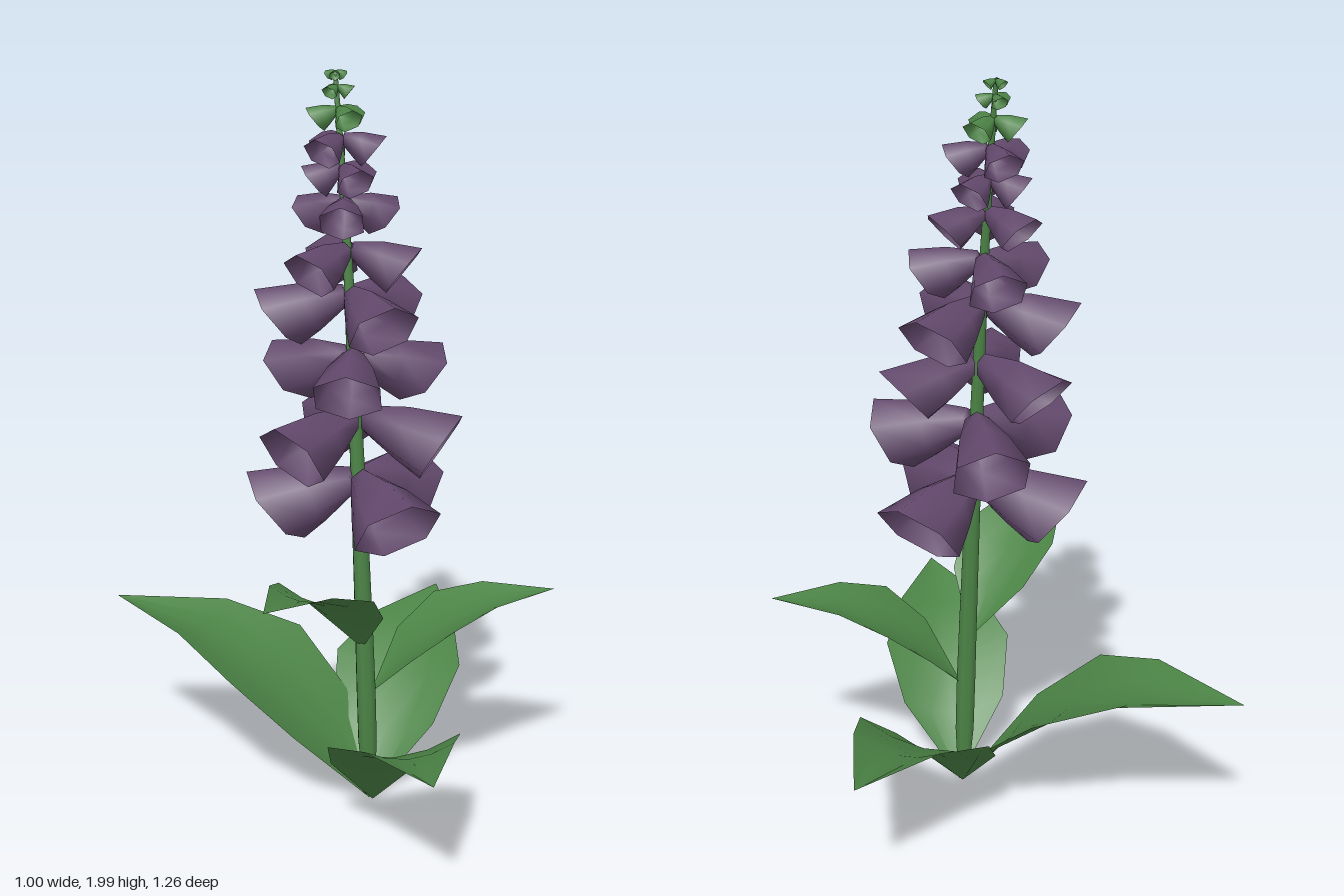
import * as THREE from 'three';

const material = (name, color) => {
  const m = new THREE.MeshStandardMaterial({ color, side: THREE.DoubleSide });
  m.name = name;
  return m;
};

// Skin a list of equal-length cross-sections (arrays of [x, y, z])
function loft(rings, closed) {
  const n = rings[0].length, index = [];
  for (let i = 0; i < rings.length - 1; i++) {
    for (let j = 0; j < (closed ? n : n - 1); j++) {
      const k = (j + 1) % n, a = i * n + j, b = i * n + k;
      index.push(a, b, a + n, b, b + n, a + n);
    }
  }
  const g = new THREE.BufferGeometry();
  g.setAttribute('position', new THREE.Float32BufferAttribute(rings.flat(2), 3));
  g.setIndex(index);
  g.computeVertexNormals();
  return g;
}

// Stem centre line, leaning gently backwards
const stemCurve = new THREE.CatmullRomCurve3([
  [0.008, 0.03, -0.01], [0, 0.4, -0.015], [-0.008, 0.8, -0.03], [-0.014, 1.2, -0.055],
  [-0.017, 1.5, -0.08], [-0.02, 1.8, -0.115], [-0.022, 1.985, -0.14],
].map(p => new THREE.Vector3(...p)));

function stemAt(y) {
  let lo = 0, hi = 1;
  for (let i = 0; i < 24; i++) {
    const mid = (lo + hi) / 2;
    if (stemCurve.getPoint(mid).y < y) lo = mid; else hi = mid;
  }
  return stemCurve.getPoint(lo);
}

// Stem narrows to the tip and also at the very base
function stemGeometry() {
  const rings = [];
  for (let i = 0; i <= 14; i++) {
    const c = stemCurve.getPoint(i / 14);
    const r = Math.min(0.014 + 0.07 * c.y, 0.03 - 0.024 * Math.pow(c.y / 2, 1.3));
    rings.push(Array.from({ length: 8 }, (_, j) => {
      const a = -j * Math.PI / 4;
      return [c.x + r * Math.cos(a), c.y, c.z + r * Math.sin(a)];
    }));
  }
  return loft(rings, true);
}

// Hexagonal drooping bell, opening towards +z; origin on the stem at mouth-centre height
function bellGeometry(r, reach, droop) {
  const out = reach - r * Math.sin(droop);
  const sections = [[0, 0], [0.04, 0.34], [0.5, 0.7], [1, 1]]; // position, radius
  return loft(sections.map(([t, s]) => {
    const tilt = droop * t;
    return Array.from({ length: 6 }, (_, j) => {
      const a = j * Math.PI / 3, up = Math.cos(a) * r * s;
      return [
        Math.sin(a) * r * s,
        0.62 * r * (1 - t) + up * Math.cos(tilt),
        out * (0.06 + 0.94 * t) + up * Math.sin(tilt),
      ];
    });
  }), true);
}

// Pointed arching leaf with raised edges, from a base point to a tip
function leafGeometry(base, tip, halfWidth) {
  const b = new THREE.Vector3(...base), e = new THREE.Vector3(...tip);
  const d = e.clone().sub(b);
  const ctrl = b.clone().add(new THREE.Vector3(d.x * 0.37, d.y * 0.94, d.z * 0.37));
  const rib = new THREE.QuadraticBezierCurve3(b, ctrl, e);
  const side = new THREE.Vector3(d.z, 0, -d.x).normalize();
  const sections = [[0, 0], [0.23, 0.8], [0.46, 1], [0.7, 0.65], [1, 0]]; // position, width
  return loft(sections.map(([t, s]) => {
    const p = rib.getPoint(t), w = halfWidth * s;
    return [-1, -0.5, 0, 0.5, 1].map(k => [
      p.x + side.x * w * k, p.y + 0.28 * w * k * k, p.z + side.z * w * k,
    ]);
  }), false);
}

export function createModel() {
  const green = material('leaf green', 0x4c8446);
  const purple = material('petal purple', 0x62486c);
  const model = new THREE.Group();
  model.name = 'bellFlowerPlant';

  const add = (parent, name, geometry, mat) => {
    const mesh = new THREE.Mesh(geometry, mat);
    mesh.name = name;
    parent.add(mesh);
    return mesh;
  };

  add(model, 'stem', stemGeometry(), green);

  // Leaves: base, tip, half width
  const leaves = new THREE.Group();
  leaves.name = 'leaves';
  model.add(leaves);
  [
    [[0.01, 0.01, -0.01], [-0.505, 0.49, -0.63], 0.215],
    [[0.01, 0.01, -0.01], [0.482, 0.4, -0.495], 0.185],
    [[0.015, 0.01, 0], [-0.138, 0.395, 0.63], 0.178],
    [[0.015, 0.33, -0.015], [0.5, 0.61, 0.145], 0.148],
    [[-0.01, 0.47, -0.015], [-0.422, 0.76, 0.287], 0.14],
  ].forEach(([base, tip, w]) => add(leaves, 'leaf', leafGeometry(base, tip, w), green));

  // Whorls of three: mouth top height, reach, mouth radius, first bell's heading, droop
  const whorls = [
    [0.962, 0.3, 0.119, 0, 40], [1.14, 0.284, 0.105, 168, 32], [1.287, 0.264, 0.096, 90, 42],
    [1.448, 0.25, 0.094, 0, 40], [1.562, 0.192, 0.075, 172, 38], [1.677, 0.15, 0.062, 90, 42],
    [1.76, 0.106, 0.05, 0, 40], [1.835, 0.116, 0.05, 180, 40],
    [1.903, 0.084, 0.037, 0, 40], [1.957, 0.046, 0.021, 180, 40], [1.993, 0.031, 0.015, 90, 40],
  ];
  whorls.forEach(([top, reach, r, heading, droopDeg], i) => {
    const bud = i >= 8;
    const droop = THREE.MathUtils.degToRad(droopDeg);
    const y = top - r * Math.cos(droop);
    const whorl = new THREE.Group();
    whorl.name = bud ? 'budWhorl' : 'flowerWhorl';
    const c = stemAt(y);
    whorl.position.set(c.x, y, c.z);
    const geometry = bellGeometry(r, reach, droop);
    for (let k = 0; k < 3; k++) {
      const bell = add(whorl, bud ? 'bud' : 'flowerBell', geometry, bud ? green : purple);
      bell.rotation.y = THREE.MathUtils.degToRad(heading + 120 * k);
    }
    model.add(whorl);
  });
  return model;
}
